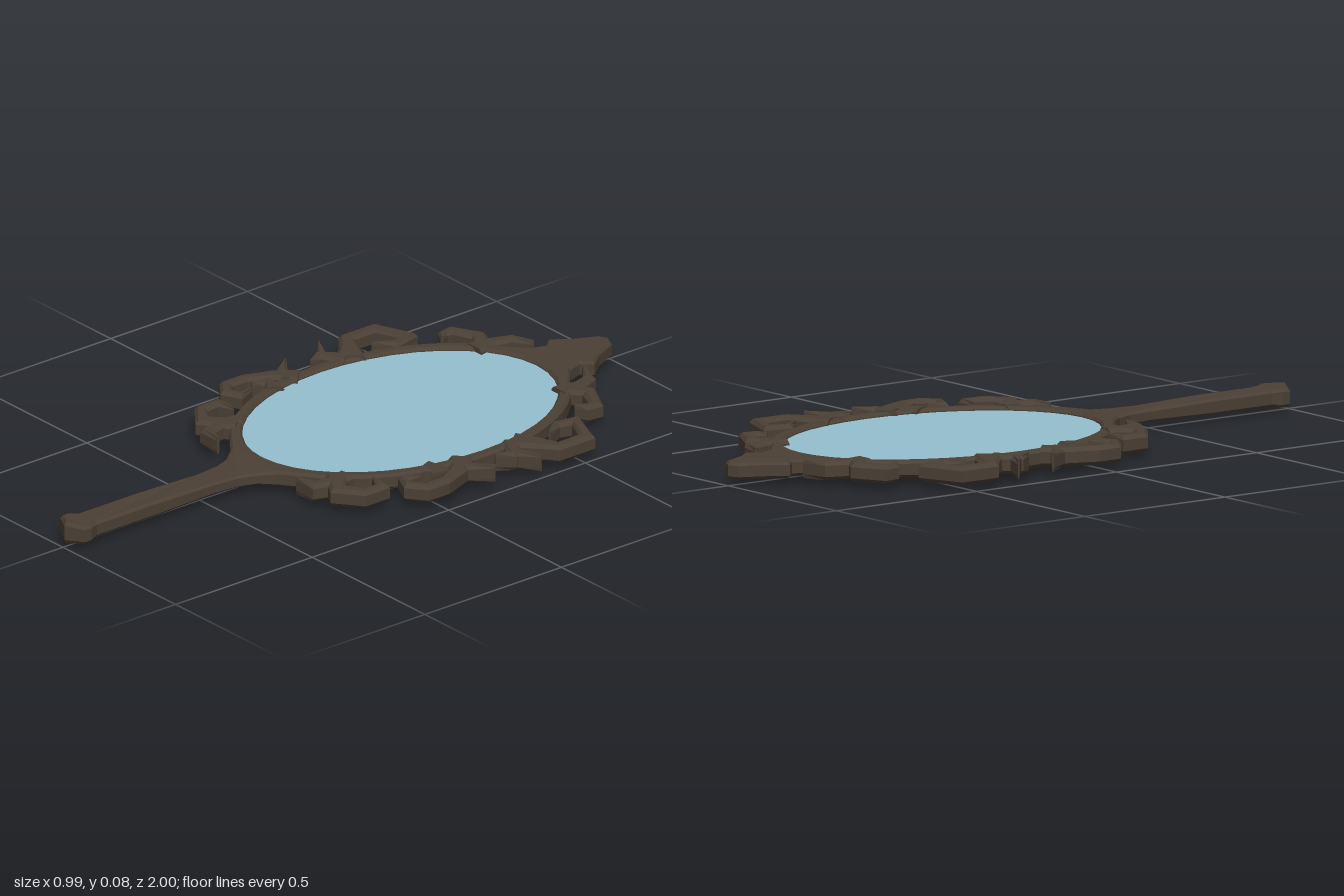
import * as THREE from 'three';

const MID = 0.043; // mid-height of the frame
const CZ = -0.235; // centre of the oval along z

const wood = new THREE.MeshStandardMaterial({ color: 0x4b4035, flatShading: true });
const glass = new THREE.MeshStandardMaterial({ color: 0x95bfce });

function add(group, name, geometry, material) {
  const mesh = new THREE.Mesh(geometry, material);
  mesh.name = name;
  group.add(mesh);
  return mesh;
}

// Flat one-piece outline: knob, handle, oval rim and crown, with an oval hole
function frameGeometry() {
  const half = [
    [0.055, 0.965], [0.055, 0.94], [0.042, 0.91], [0.042, 0.7], [0.042, 0.48],
    [0.05, 0.4], [0.07, 0.345], [0.105, 0.3],
  ];
  for (let i = 0; i <= 20; i++) {
    const t = THREE.MathUtils.degToRad(65 - (i * 133) / 20);
    half.push([0.387 * Math.cos(t), CZ + 0.54 * Math.sin(t)]);
  }
  half.push([0.09, -0.785], [0.075, -0.83], [0.105, -0.86], [0.065, -0.91], [0.03, -0.985]);
  const right = half.map(([x, z]) => new THREE.Vector2(x, -z));
  const left = half.map(([x, z]) => new THREE.Vector2(-x, -z)).reverse();
  const shape = new THREE.Shape([
    new THREE.Vector2(0, -0.995), ...right, new THREE.Vector2(0, 1), ...left,
  ]);
  shape.holes.push(new THREE.Path().absellipse(0, -CZ, 0.354, 0.5, 0, Math.PI * 2, true));
  const geo = new THREE.ExtrudeGeometry(shape, {
    depth: 0.032, bevelThickness: 0.008, bevelSize: 0.007, bevelOffset: -0.007,
    bevelSegments: 1, curveSegments: 20,
  });
  geo.translate(0, 0, -0.016).rotateX(-Math.PI / 2);
  // Thin the neck, swell the knob and crown towards a central ridge
  const p = geo.attributes.position;
  for (let i = 0; i < p.count; i++) {
    const x = p.getX(i), z = p.getZ(i);
    let k = 1;
    if (Math.abs(z - 0.41) < 0.08 && Math.abs(x) < 0.08) k = 0.75;
    if (z > 0.925) k = Math.abs(x) < 0.01 ? 1.4 : 1.15;
    p.setY(i, MID + p.getY(i) * k);
  }
  return geo;
}

// Chamfered band swept along a flat path of [x, z, width]
function bandGeometry(path) {
  const H = 0.027, C = 0.011, N = 8;
  const pos = [], idx = [];
  path.forEach(([x, z, w], i) => {
    const a = path[Math.max(i - 1, 0)], b = path[Math.min(i + 1, path.length - 1)];
    const d1 = new THREE.Vector2(x - a[0], z - a[1]).normalize();
    const d2 = new THREE.Vector2(b[0] - x, b[1] - z).normalize();
    const d = d1.clone().add(d2).normalize();
    const miter = Math.min(1.3, 1 / Math.max(0.1, d.dot(i ? d1 : d2)));
    const h = (w / 2) * miter, q = h - Math.min(C, h * 0.6);
    const ring = [[h, -H + C], [h, H - C], [q, H], [-q, H], [-h, H - C], [-h, C - H], [-q, -H], [q, -H]];
    for (const [s, u] of ring) pos.push(x + d.y * s, MID + 0.002 + u, z - d.x * s);
  });
  for (let i = 0; i < path.length - 1; i++) {
    for (let j = 0; j < N; j++) {
      const a = i * N + j, b = i * N + ((j + 1) % N);
      idx.push(a, b, b + N, a, b + N, a + N);
    }
  }
  const e = (path.length - 1) * N;
  for (let j = 1; j < N - 1; j++) idx.push(0, j + 1, j, e, e + j, e + j + 1);
  const geo = new THREE.BufferGeometry();
  geo.setAttribute('position', new THREE.Float32BufferAttribute(pos, 3));
  geo.setIndex(idx);
  geo.computeVertexNormals();
  return geo;
}

// Scroll paths for one side, from crown to handle
const scrolls = {
  crownHook: [[0.19, -0.66, 0.07], [0.19, -0.73, 0.045], [0.172, -0.785, 0.035], [0.11, -0.815, 0.008]],
  crownScroll: [[0.18, -0.68, 0.06], [0.245, -0.725, 0.045], [0.322, -0.688, 0.035], [0.32, -0.655, 0.03], [0.295, -0.63, 0.006]],
  upperScroll: [[0.36, -0.35, 0.09], [0.42, -0.395, 0.06], [0.472, -0.425, 0.04], [0.472, -0.53, 0.04],
    [0.37, -0.572, 0.04], [0.355, -0.51, 0.032], [0.395, -0.455, 0.006]],
  upperThorn: [[0.365, -0.34, 0.06], [0.425, -0.3, 0.035], [0.495, -0.345, 0.005]],
  upperBarb: [[0.4, -0.325, 0.04], [0.43, -0.29, 0.035], [0.41, -0.245, 0.005]],
  lowerThorn: [[0.36, -0.13, 0.06], [0.42, -0.145, 0.035], [0.465, -0.2, 0.005]],
  lowerScroll: [[0.36, -0.16, 0.07], [0.41, -0.11, 0.05], [0.446, -0.03, 0.038], [0.446, 0.035, 0.038],
    [0.405, 0.068, 0.034], [0.362, 0.05, 0.028], [0.375, 0.0, 0.006]],
  lowerBarb: [[0.335, -0.05, 0.06], [0.385, -0.07, 0.035], [0.4, -0.02, 0.006]],
  neckScroll: [[0.22, 0.18, 0.07], [0.3, 0.24, 0.045], [0.362, 0.195, 0.038], [0.365, 0.13, 0.032], [0.31, 0.12, 0.006]],
  neckHook: [[0.24, 0.16, 0.06], [0.25, 0.22, 0.045], [0.235, 0.275, 0.038], [0.175, 0.287, 0.008]],
};

export function createModel() {
  const model = new THREE.Group();
  model.name = 'handMirror';
  add(model, 'frameAndHandle', frameGeometry(), wood);

  // Shallow dished back
  const back = new THREE.CylinderGeometry(0.385, 0.33, 0.022, 32);
  back.scale(1, 1, 1.4).translate(0, 0.011, CZ);
  add(model, 'back', back, wood);

  // Glass set just below the rim
  const pane = new THREE.CircleGeometry(1, 64);
  pane.scale(0.358, 0.504, 1).rotateX(-Math.PI / 2).translate(0, 0.056, CZ);
  add(model, 'glass', pane, glass);

  // Scrollwork mirrored on both sides
  for (const side of [1, -1]) {
    const group = new THREE.Group();
    group.name = side > 0 ? 'leftScrollwork' : 'rightScrollwork';
    for (const [name, path] of Object.entries(scrolls)) {
      add(group, name, bandGeometry(path.map(([x, z, w]) => [side * x, z, w])), wood);
    }
    model.add(group);
  }
  return model;
}
